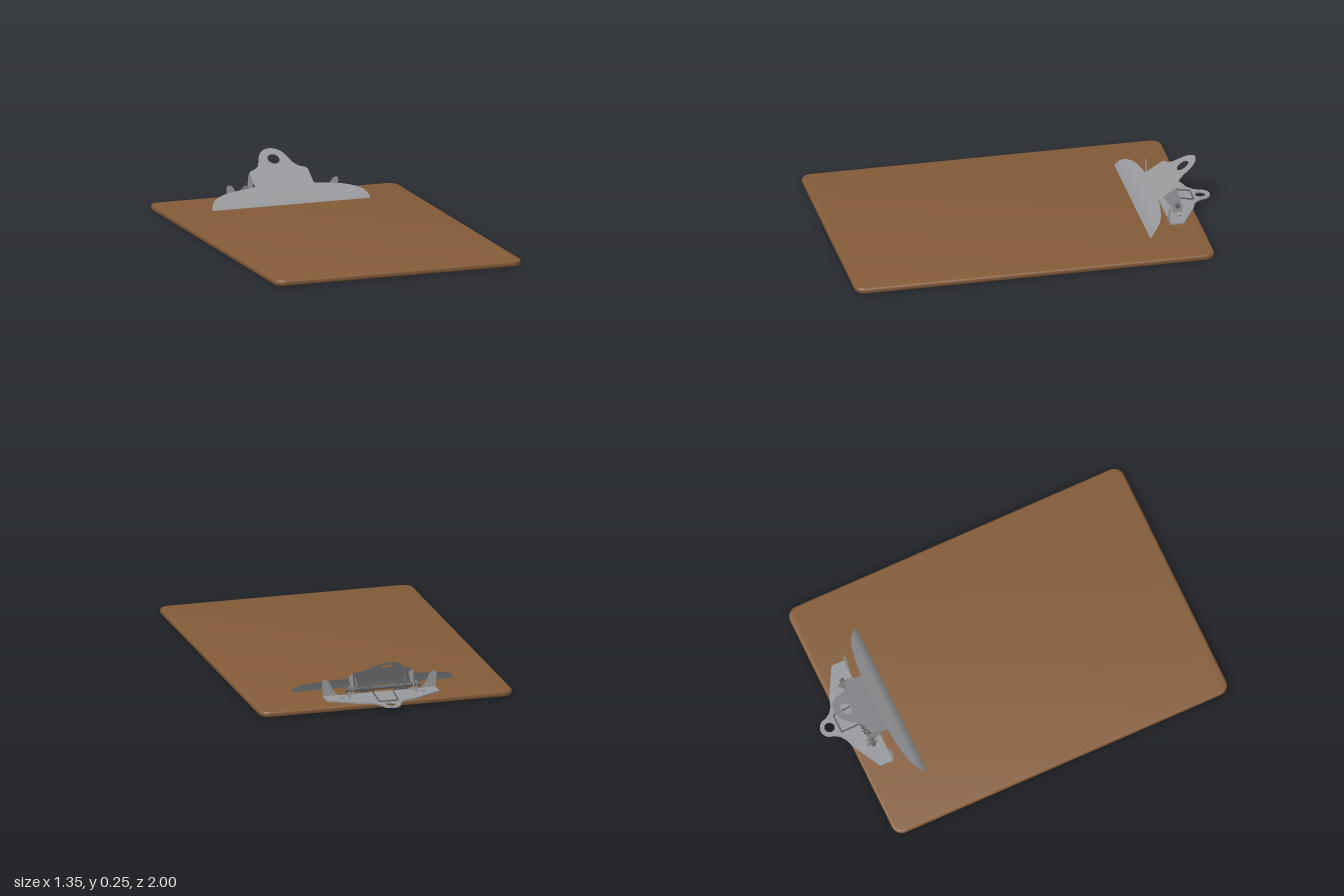
import * as THREE from 'three';
import { toCreasedNormals } from 'three/addons/utils/BufferGeometryUtils.js';

const wood = new THREE.MeshStandardMaterial({ name: 'brown hardboard', color: 0x835b38 });
const steel = new THREE.MeshStandardMaterial({ name: 'steel', color: 0x96989b, side: THREE.DoubleSide });
const darkSteel = new THREE.MeshStandardMaterial({ name: 'dark steel', color: 0x606264 });

// Height of the sloping jaw sheet at distance d behind the centre
const jawY = (d) => 0.125 + (d - 0.72) * 0.625;

function add(group, name, geometry, material) {
  const mesh = new THREE.Mesh(geometry, material);
  mesh.name = name;
  group.add(mesh);
  return mesh;
}

// Move every vertex of a geometry by a rule
function remap(geometry, rule) {
  const p = geometry.attributes.position;
  for (let i = 0; i < p.count; i++) p.setXYZ(i, ...rule(p.getX(i), p.getY(i), p.getZ(i)));
  geometry.computeVertexNormals();
  return geometry;
}

const polygon = (points) => new THREE.Shape(points.map(([x, y]) => new THREE.Vector2(x, y)));

// Closed outline from its right half, mirrored across x = 0
function mirrored(half) {
  const other = half.filter(([x]) => x > 0).map(([x, y]) => [-x, y]).reverse();
  return polygon([...half, ...other]);
}

function punch(shape, y, rx, ry) {
  const hole = new THREE.Path();
  hole.absellipse(0, y, rx, ry, 0, Math.PI * 2, true);
  shape.holes.push(hole);
  return shape;
}

function arc(cy, r, from, steps) {
  const points = [];
  for (let i = 0; i <= steps; i++) {
    const a = from + (Math.PI / 2 - from) * i / steps;
    points.push([i === steps ? 0 : r * Math.cos(a), cy + r * Math.sin(a)]);
  }
  return points;
}

function makeBoard(group) {
  const bevel = 0.01, w = 0.675 - bevel, h = 0.9425 - bevel, r = 0.045;
  const s = new THREE.Shape();
  s.absarc(w - r, h - r, r, 0, Math.PI / 2);
  s.absarc(-w + r, h - r, r, Math.PI / 2, Math.PI);
  s.absarc(-w + r, -h + r, r, Math.PI, Math.PI * 1.5);
  s.absarc(w - r, -h + r, r, Math.PI * 1.5, Math.PI * 2);
  const g = new THREE.ExtrudeGeometry(s, {
    depth: 0.01, bevelThickness: bevel, bevelSize: bevel, bevelSegments: 3, curveSegments: 8,
  });
  g.rotateX(-Math.PI / 2).translate(0, bevel, 0.0575);
  add(group, 'board', toCreasedNormals(g, 0.6), wood);
}

function makeJaw(group) {
  const jaw = new THREE.Group();
  jaw.name = 'clipJaw';
  group.add(jaw);

  // Wide curved lip: rows of distance back, height, half width
  const rows = [
    [0.595, 0.03, 0.432], [0.605, 0.045, 0.428], [0.618, 0.06, 0.42], [0.635, 0.073, 0.405],
    [0.655, 0.085, 0.375], [0.675, 0.097, 0.32], [0.688, 0.105, 0.24], [0.697, 0.1106, 0.16],
  ];
  const across = 8, pos = [], index = [];
  rows.forEach(([d, y, w], r) => {
    for (let c = 0; c <= across; c++) {
      pos.push(w * (2 * c / across - 1), y, -d);
      if (r && c) {
        const b = r * (across + 1) + c, a = b - across - 1;
        index.push(a - 1, a, b, a - 1, b, b - 1);
      }
    }
  });
  const lip = new THREE.BufferGeometry();
  lip.setAttribute('position', new THREE.Float32BufferAttribute(pos, 3));
  lip.setIndex(index);
  lip.computeVertexNormals();
  add(jaw, 'jawLip', lip, steel);

  // Lever plate with its round-topped grip and hole
  const plate = punch(mirrored([
    [0.16, 0.697], [0.16, 0.785], [0.145, 0.797], [0.12, 0.805], [0.1, 0.822], [0.085, 0.85],
    [0.075, 0.875], ...arc(0.845, 0.08, 0.6, 8),
  ]), 0.858, 0.031, 0.029);
  add(jaw, 'jawLever', remap(new THREE.ShapeGeometry(plate, 20), (x, d) => [x, jawY(d), -d]), steel);

  // Side cheeks folded down to the pivot
  const cheek = polygon([
    [0.72, 0.125], [0.785, 0.165], [0.797, 0.15], [0.818, 0.075], [0.812, 0.058],
    [0.79, 0.05], [0.768, 0.052],
  ]);
  for (const side of [-1, 1]) {
    add(jaw, 'jawCheek', remap(new THREE.ShapeGeometry(cheek), (d, y) => [side * 0.16, y, -d]), steel);
  }
}

function makeBracket(group) {
  const bracket = new THREE.Group();
  bracket.name = 'clipBracket';
  group.add(bracket);

  // Flat base with a hanging loop
  const base = punch(mirrored([
    [0.3, 0.73], [0.3, 0.8], [0.15, 0.882], [0.1, 0.898], [0.07, 0.92], [0.053, 0.945],
    ...arc(0.95, 0.05, 0.1, 8),
  ]), 0.95, 0.027, 0.027);
  const g = new THREE.ExtrudeGeometry(base, { depth: 0.008, bevelEnabled: false, curveSegments: 16 });
  g.rotateX(-Math.PI / 2).translate(0, 0.03, 0);
  add(bracket, 'bracketBase', g, steel);

  const ear = polygon([
    [0.215, 0.03], [0.3, 0.03], [0.306, 0.105], [0.303, 0.12], [0.293, 0.126], [0.275, 0.119],
    [0.262, 0.1], [0.25, 0.07],
  ]);
  const post = polygon([
    [0.76, 0.03], [0.82, 0.03], [0.818, 0.085], [0.805, 0.1], [0.78, 0.1], [0.765, 0.085],
  ]);
  for (const side of [-1, 1]) {
    // Upturned ears at the front corners and posts holding the rod
    add(bracket, 'bracketEar', remap(new THREE.ShapeGeometry(ear), (x, y) => [side * x, y, -0.728]), steel);
    add(bracket, 'pivotPost', remap(new THREE.ShapeGeometry(post), (d, y) => [side * 0.178, y, -d]), steel);
    const rivet = add(bracket, 'rivet', new THREE.CylinderGeometry(0.012, 0.012, 0.008, 12), steel);
    rivet.position.set(side * 0.215, 0.042, -0.79);
  }
}

function makeSpring(group) {
  const rod = add(group, 'pivotRod', new THREE.CylinderGeometry(0.011, 0.011, 0.4, 12), darkSteel);
  rod.rotation.z = Math.PI / 2;
  rod.position.set(0, 0.08, -0.79);

  // Coils on each side with a leg to the base and a leg to the lever
  for (const side of [-1, 1]) {
    const points = [new THREE.Vector3(side * 0.05, 0.04, -0.905)];
    const turns = 5, steps = turns * 8;
    for (let i = 0; i <= steps; i++) {
      const a = -Math.PI / 2 + i / 8 * Math.PI * 2;
      points.push(new THREE.Vector3(side * (0.055 + 0.075 * i / steps),
        0.08 + 0.018 * Math.sin(a), -0.79 - 0.018 * Math.cos(a)));
    }
    points.push(new THREE.Vector3(side * 0.13, 0.125, -0.735));
    const path = new THREE.CatmullRomCurve3(points);
    add(group, 'springCoil', new THREE.TubeGeometry(path, 120, 0.004, 5), darkSteel);
  }
  const bar = add(group, 'springBar', new THREE.CylinderGeometry(0.004, 0.004, 0.1, 6), darkSteel);
  bar.rotation.z = Math.PI / 2;
  bar.position.set(0, 0.041, -0.905);
}

export function createModel() {
  const model = new THREE.Group();
  model.name = 'clipboard';
  makeBoard(model);
  makeJaw(model);
  makeBracket(model);
  makeSpring(model);
  return model;
}
